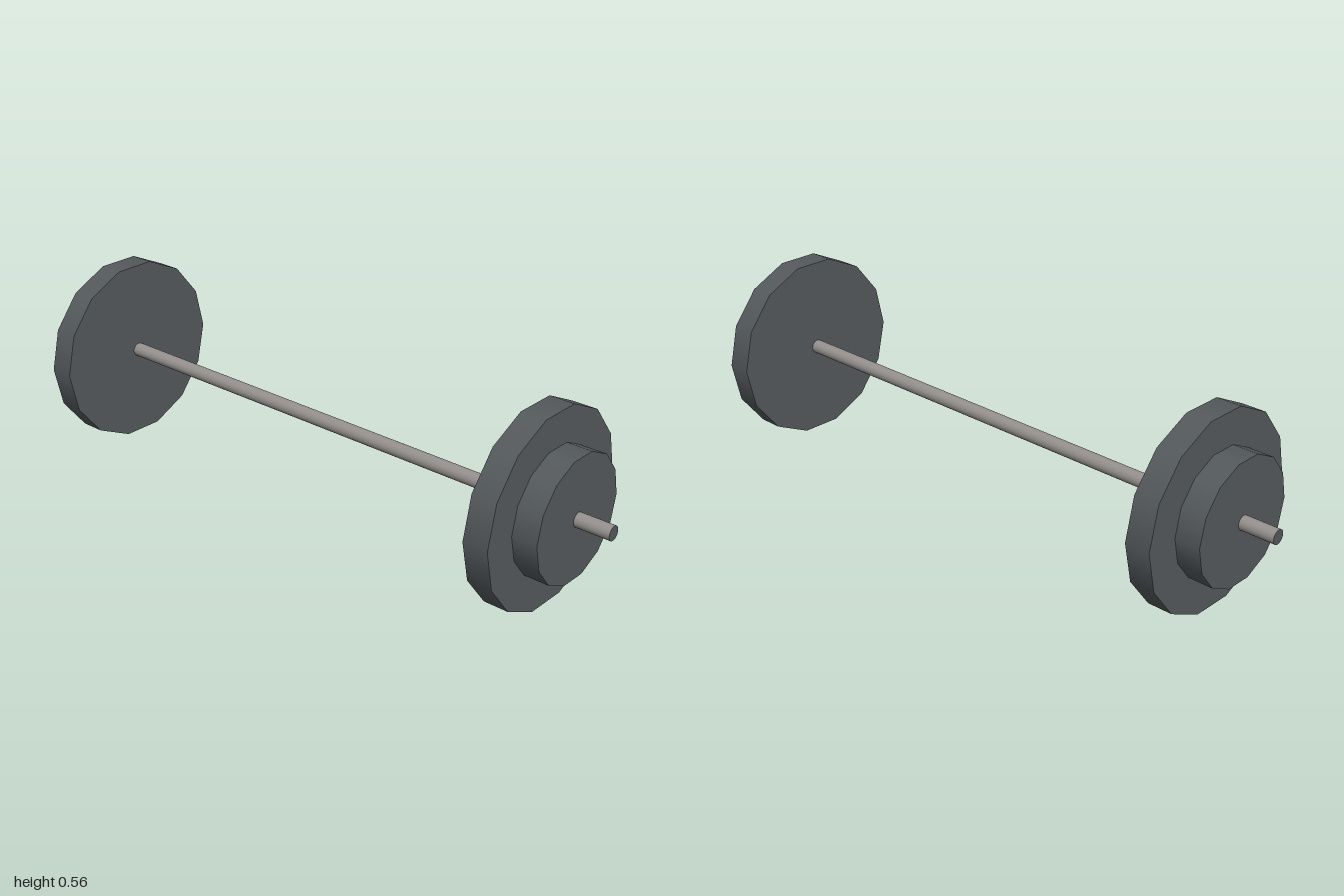
import * as THREE from 'three';

export function createModel() {
  const group = new THREE.Group();
  group.name = 'barbell';

  const iron = new THREE.MeshStandardMaterial({ color: 0x555a5d });
  iron.name = 'dark iron';
  const steel = new THREE.MeshStandardMaterial({ color: 0x96918e });
  steel.name = 'grey steel';

  const axisY = 0.278;

  // Cylinder lying along z, with a corner on each side and a flat on top
  function disc(name, radius, length, sides, z, material) {
    const geometry = new THREE.CylinderGeometry(radius, radius, length, sides, 1, false, Math.PI / 2);
    geometry.rotateX(Math.PI / 2);
    const mesh = new THREE.Mesh(geometry, material);
    mesh.name = name;
    mesh.position.set(0, axisY, z);
    group.add(mesh);
  }

  // Bar: steel shaft with dark ends
  disc('bar', 0.021, 2, 24, 0, [steel, iron, iron]);

  // A large and a small weight plate at each end
  for (const [end, side] of [['front', 1], ['back', -1]]) {
    disc(end + 'LargePlate', 0.285, 0.075, 14, side * 0.783, iron);
    disc(end + 'SmallPlate', 0.183, 0.077, 14, side * 0.857, iron);
  }

  return group;
}
